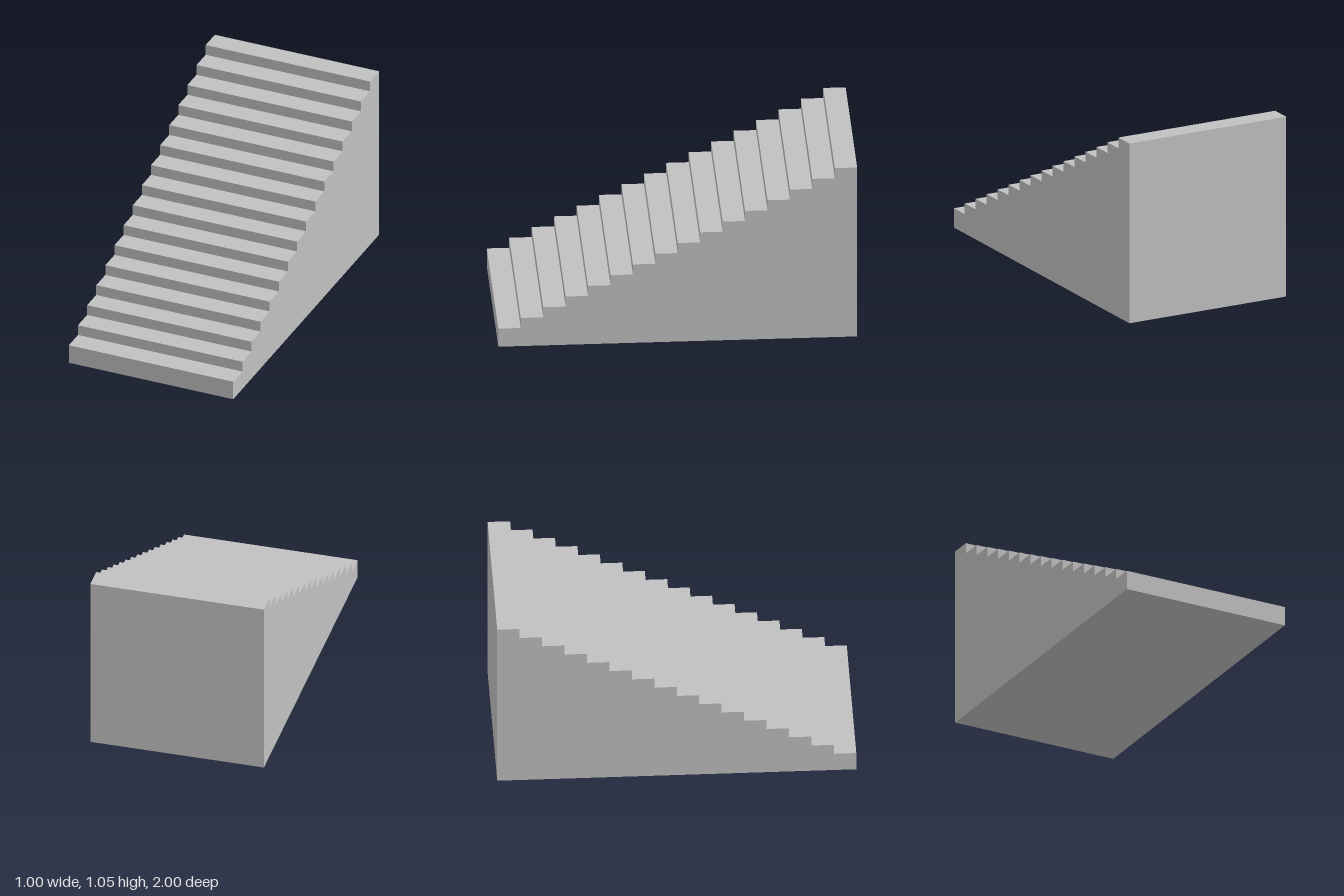
import * as THREE from 'three';

const STEPS = 16;
const WIDTH = 1;
const TREAD = 2 / STEPS;
const FIRST_RISE = 0.1125;
const RISE = 0.0625;

export function createModel() {
  const group = new THREE.Group();
  group.name = 'staircase';

  const stone = new THREE.MeshStandardMaterial({ color: 0xc0c0c0 });
  stone.name = 'light grey stone';

  // Side profile: x is the run towards the front, y is the height
  const profile = new THREE.Shape();
  profile.moveTo(-1, 0);
  profile.lineTo(1, 0);
  for (let i = 0; i < STEPS; i++) {
    const height = FIRST_RISE + i * RISE;
    profile.lineTo(1 - i * TREAD, height);
    profile.lineTo(1 - (i + 1) * TREAD, height);
  }
  profile.closePath();

  // Solid flight of steps, turned so the lowest step faces the front
  const geometry = new THREE.ExtrudeGeometry(profile, { depth: WIDTH, bevelEnabled: false });
  geometry.translate(0, 0, -WIDTH / 2);
  geometry.rotateY(-Math.PI / 2);

  const flight = new THREE.Mesh(geometry, stone);
  flight.name = 'solidSteps';
  group.add(flight);
  return group;
}
